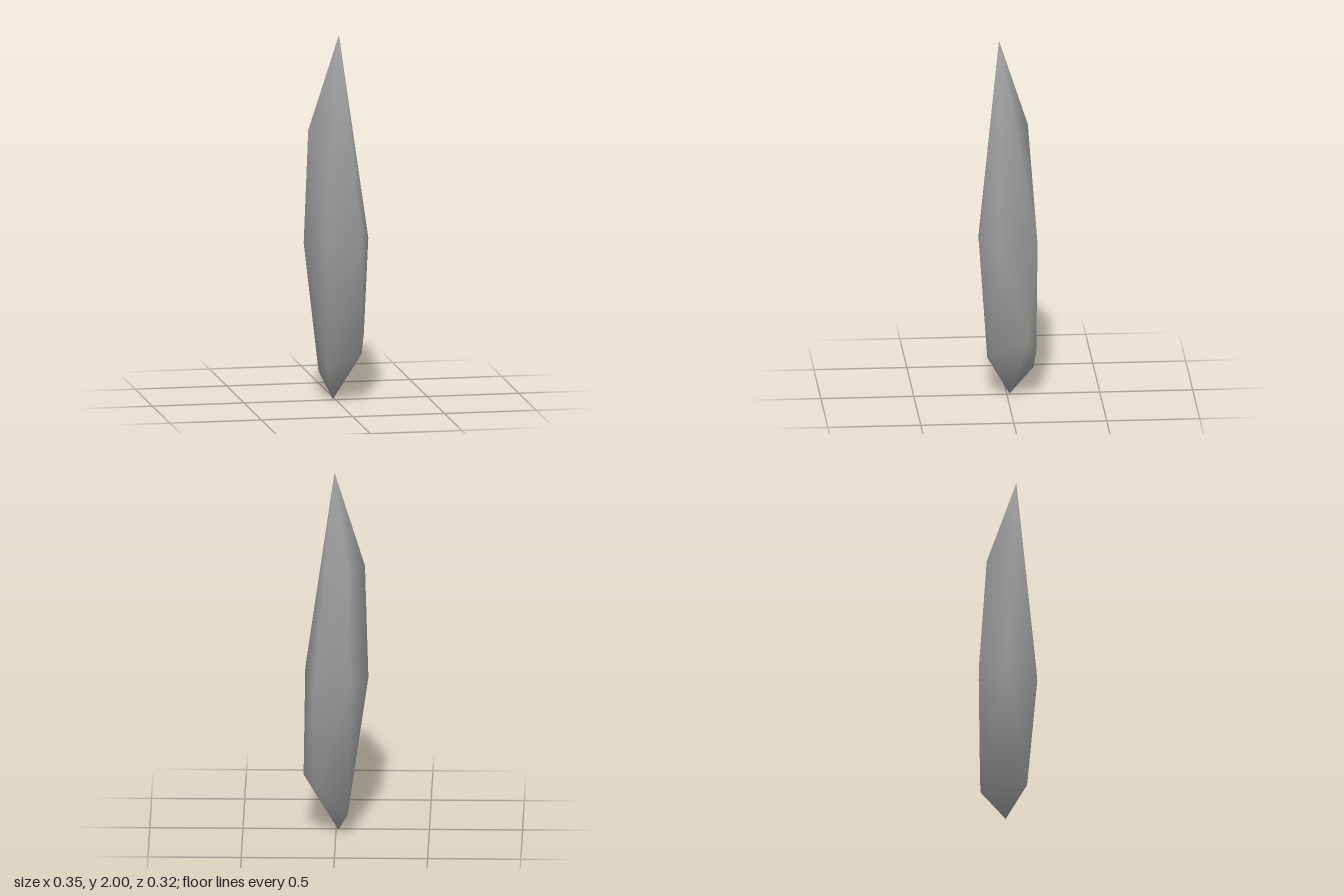
import * as THREE from 'three';
import { ConvexGeometry } from 'three/addons/geometries/ConvexGeometry.js';
import { mergeVertices } from 'three/addons/utils/BufferGeometryUtils.js';

// Corners of the shard, from the tip down: [x, y, z]
const tip = [[0.01, 2, 0.043]];
const shoulder = [[-0.065, 1.5, -0.118], [-0.154, 1.48, 0.022]];
const girdle = [
  [-0.08, 0.87, -0.16], [-0.173, 0.86, -0.007], [-0.075, 0.87, 0.147],
  [0.115, 0.88, 0.157], [0.167, 0.89, 0.06], [0.115, 0.88, -0.157],
];
const base = [
  [-0.065, 0.19, 0.1], [0.123, 0.265, 0.102], [0.173, 0.34, -0.1],
  [0.112, 0.275, -0.15], [-0.065, 0.13, -0.15],
];
const foot = [[-0.012, 0, -0.015]];

// Smooth normals weighted by corner angle, so long facets do not dominate
function angleNormals(geometry) {
  const { position } = geometry.attributes;
  const index = geometry.index.array;
  const sums = Array.from({ length: position.count }, () => new THREE.Vector3());
  for (let i = 0; i < index.length; i += 3) {
    const ids = [index[i], index[i + 1], index[i + 2]];
    const pts = ids.map((id) => new THREE.Vector3().fromBufferAttribute(position, id));
    const normal = new THREE.Triangle(...pts).getNormal(new THREE.Vector3());
    ids.forEach((id, k) => {
      const toNext = pts[(k + 1) % 3].clone().sub(pts[k]);
      const toPrev = pts[(k + 2) % 3].clone().sub(pts[k]);
      sums[id].addScaledVector(normal, toNext.angleTo(toPrev));
    });
  }
  const values = sums.flatMap((n) => n.normalize().toArray());
  geometry.setAttribute('normal', new THREE.Float32BufferAttribute(values, 3));
}

export function createModel() {
  const group = new THREE.Group();
  group.name = 'crystal';

  // Convex shard with shared corners, so the facets shade softly
  const corners = [tip, shoulder, girdle, base, foot].flat().map((p) => new THREE.Vector3(...p));
  const hull = new ConvexGeometry(corners);
  hull.deleteAttribute('normal');
  const geometry = mergeVertices(hull, 1e-4);
  angleNormals(geometry);

  const shard = new THREE.Mesh(geometry, new THREE.MeshStandardMaterial({ color: 0x9a9a9a }));
  shard.name = 'crystalShard';
  group.add(shard);
  return group;
}
